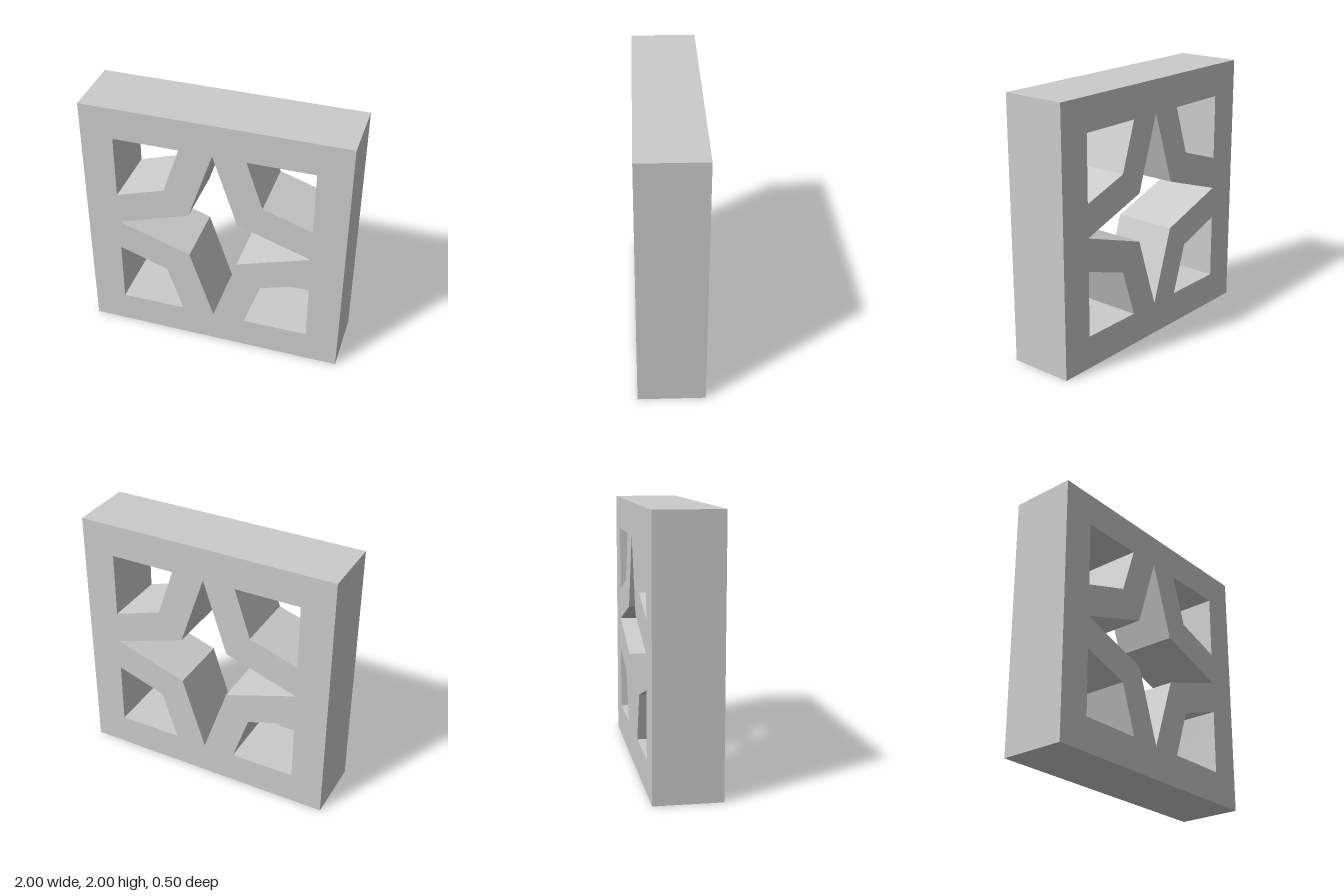
import * as THREE from 'three';

const DEPTH = 0.5;

const toPoints = (pairs) => pairs.map(([x, y]) => new THREE.Vector2(x, y));

export function createModel() {
  const group = new THREE.Group();
  group.name = 'breezeBlock';

  // Square outer face, centred on the origin
  const face = new THREE.Shape(toPoints([[-1, -1], [1, -1], [1, 1], [-1, 1]]));

  // Four-pointed star opening
  const star = [];
  for (let i = 0; i < 8; i++) {
    const radius = i % 2 ? 0.1875 * Math.SQRT2 : 0.75;
    const angle = (i * Math.PI) / 4;
    star.push([radius * Math.cos(angle), radius * Math.sin(angle)]);
  }
  face.holes.push(new THREE.Path(toPoints(star)));

  // Kite-shaped corner openings, mirrored into each quadrant
  const kite = [[0.75, 0.75], [0.25, 0.75], [0.375, 0.375], [0.75, 0.25]];
  for (const sx of [-1, 1]) {
    for (const sy of [-1, 1]) {
      face.holes.push(new THREE.Path(toPoints(kite.map(([x, y]) => [sx * x, sy * y]))));
    }
  }

  // Pierced block
  const geometry = new THREE.ExtrudeGeometry(face, { depth: DEPTH, bevelEnabled: false });
  geometry.translate(0, 1, -DEPTH / 2);
  const block = new THREE.Mesh(
    geometry,
    new THREE.MeshStandardMaterial({ color: 0xcccccc, flatShading: true })
  );
  block.name = 'piercedBlock';
  group.add(block);

  return group;
}
